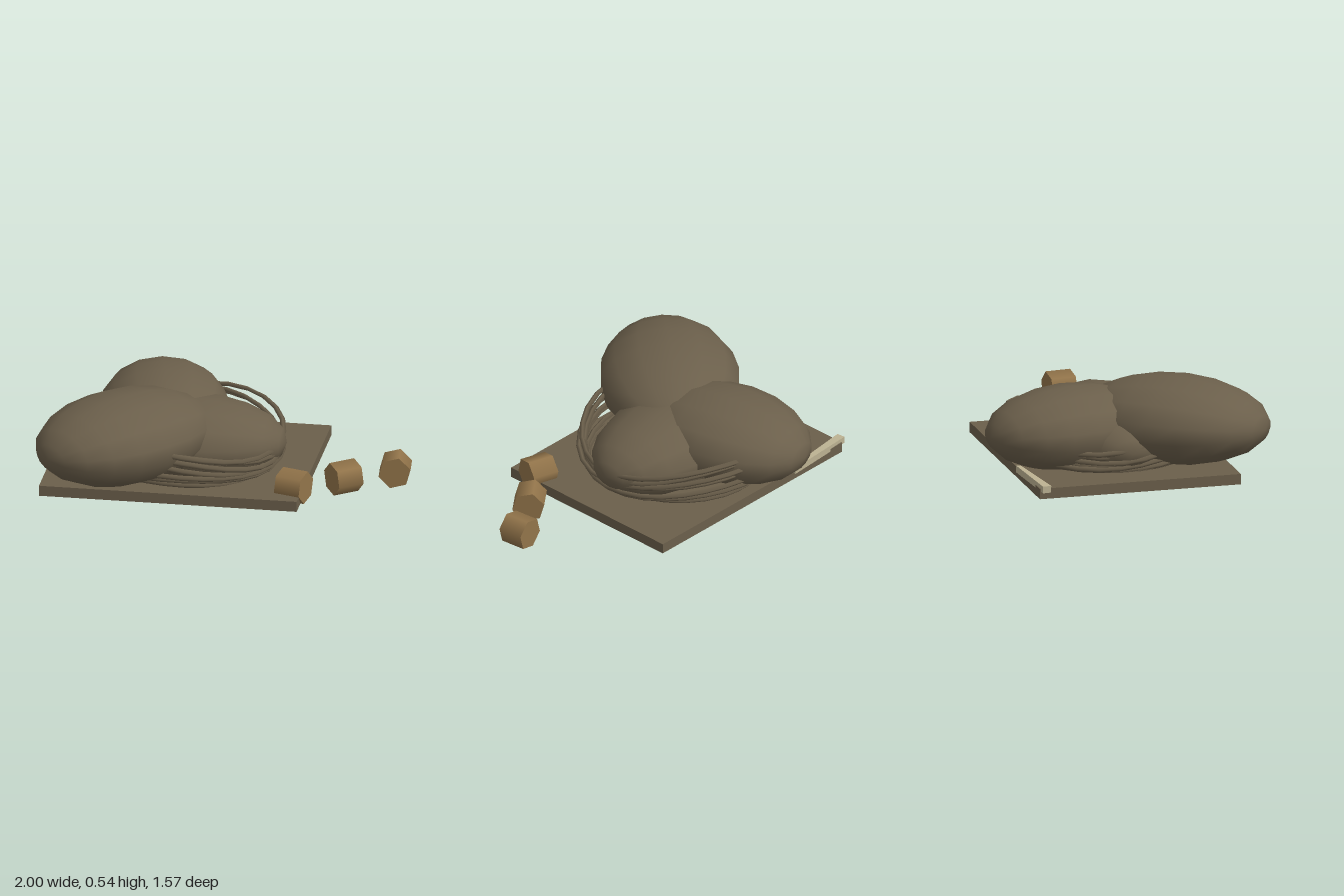
import * as THREE from 'three';

const mat = (name, color) => {
  const m = new THREE.MeshStandardMaterial({ color });
  m.name = name;
  return m;
};

// Closed strand running round the nest, low at the sides and rising front and back
class StrandCurve extends THREE.Curve {
  constructor(radius, base, lift, phase) {
    super();
    Object.assign(this, { radius, base, lift, phase });
  }
  getPoint(t, target = new THREE.Vector3()) {
    const a = t * Math.PI * 2;
    const r = this.radius * (1 + 0.02 * Math.sin(3 * a + this.phase));
    const rise = Math.sin(a + 0.12 * Math.sin(this.phase)) ** 2;
    return target.set(r * Math.cos(a), this.base + this.lift * rise, r * Math.sin(a));
  }
}

export function createModel() {
  const model = new THREE.Group();
  const earth = mat('earth brown', 0x6b5f4b);
  const wood = mat('light wood', 0x92744a);
  const straw = mat('pale straw', 0xbcb292);

  const add = (name, geometry, material, x, y, z, rotY = 0) => {
    const mesh = new THREE.Mesh(geometry, material);
    mesh.name = name;
    mesh.position.set(x, y, z);
    mesh.rotation.y = rotY;
    model.add(mesh);
    return mesh;
  };

  // Square-edged board, turned slightly
  const turn = 0.303;
  add('board', new THREE.BoxGeometry(1.34, 0.055, 1.07), earth, -0.18, 0.088, -0.077, turn);

  // Eggs: stretched spheres with their poles along the long axis
  const egg = (name, [x, y, z], [long, high, wide], [dx, dz]) => {
    const g = new THREE.SphereGeometry(1, 14, 10);
    g.rotateZ(-Math.PI / 2);
    g.scale(long, high, wide);
    add(name, g, earth, x, y, z, Math.atan2(-dz, dx));
  };
  egg('lowerEgg', [-0.18, 0.222, -0.075], [0.53, 0.218, 0.335], [0.51, -0.16]);
  egg('frontEgg', [-0.345, 0.322, 0.285], [0.515, 0.224, 0.365], [-0.4, 0.92]);
  egg('backEgg', [-0.38, 0.283, -0.24], [0.475, 0.217, 0.335], [-0.49, -0.87]);

  // Nest of flat strands around the eggs
  const nest = new THREE.Group();
  nest.name = 'nest';
  nest.position.set(-0.19, 0, -0.085);
  const strands = [
    [0.46, 0.115, 0.02], [0.48, 0.125, 0.04], [0.5, 0.14, 0.06], [0.485, 0.155, 0.09],
    [0.505, 0.17, 0.11], [0.49, 0.195, 0.11], [0.505, 0.22, 0.11],
  ];
  strands.forEach(([radius, base, lift], i) => {
    const g = new THREE.TubeGeometry(new StrandCurve(radius, base, lift, i * 1.7), 28, 0.014, 4, true);
    const strand = new THREE.Mesh(g, earth);
    strand.name = 'strand';
    nest.add(strand);
  });
  model.add(nest);

  // Short six-sided log pieces lying on their sides
  const logs = [
    [0.533, 0.143, 0.1, 0, 0.142],
    [0.71, 0.143, -0.123, Math.atan2(0.115, 0.08), 0.142],
    [0.893, 0.143, -0.345, Math.atan2(-0.92, 0.4), 0.135],
  ];
  for (const [x, y, z, rotY, length] of logs) {
    const g = new THREE.CylinderGeometry(0.085, 0.085, length, 6);
    g.rotateZ(-Math.PI / 2);
    g.rotateX(0.25);
    add('log', g, wood, x, y, z, rotY);
  }

  // Pale splinter across the back corner of the board
  const splinter = new THREE.BoxGeometry(0.4, 0.036, 0.045);
  const p = splinter.attributes.position;
  for (let i = 0; i < p.count; i++) if (p.getX(i) > 0) p.setZ(i, p.getZ(i) * 0.5);
  add('splinter', splinter, straw, -0.81, 0.12, -0.43, 0.41).rotation.z = 0.02;

  return model;
}
